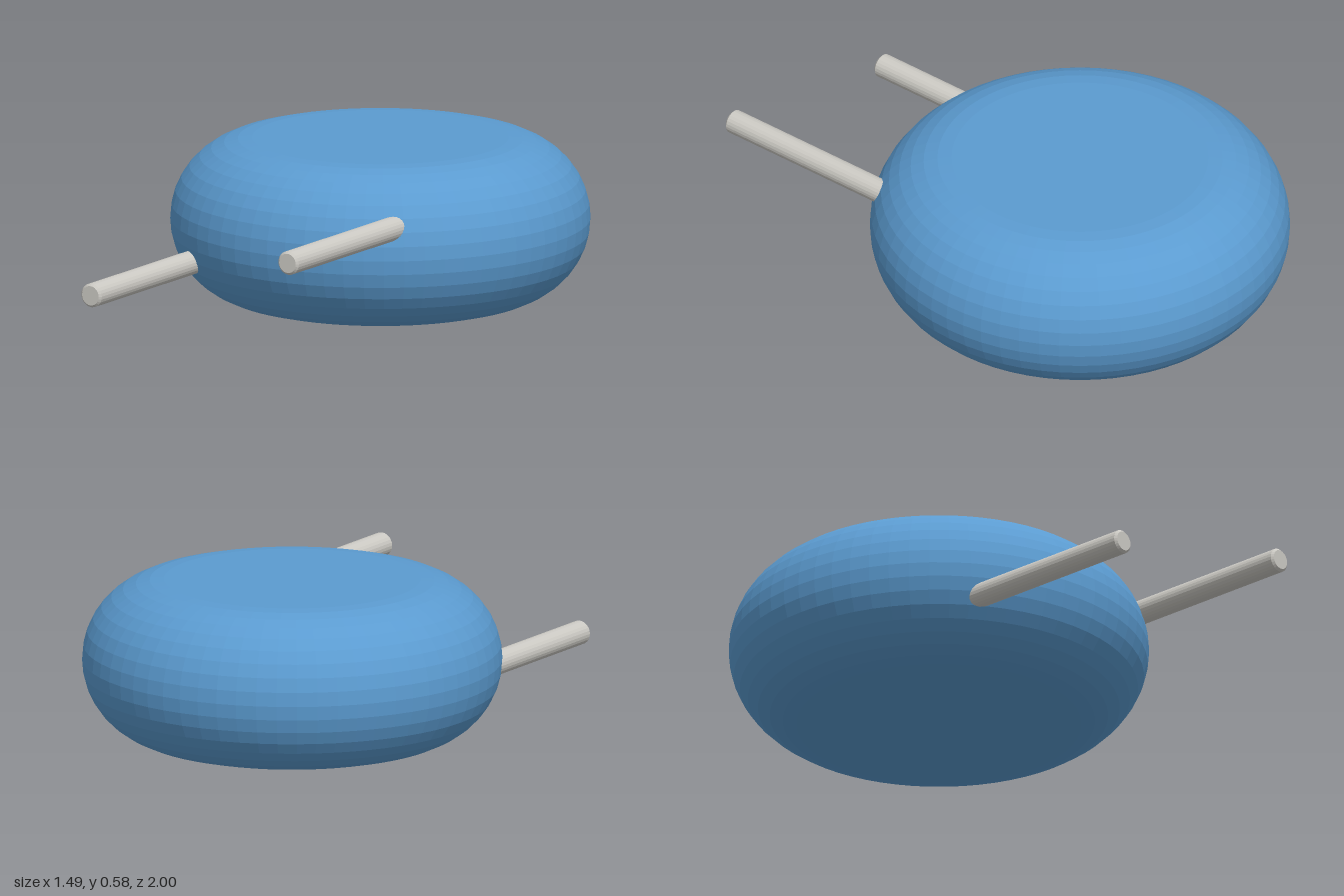
import * as THREE from 'three';

const BODY_Z = -0.255, BODY_R = 0.745, HALF_H = 0.29;

// Turned profile that closes on the axis at both ends
function turned(points, segments, color, name) {
  const geo = new THREE.LatheGeometry(points.map(([r, y]) => new THREE.Vector2(r, y)), segments);
  const mat = new THREE.MeshStandardMaterial({ color, flatShading: true });
  const mesh = new THREE.Mesh(geo, mat);
  mesh.name = name;
  return mesh;
}

export function createModel() {
  const model = new THREE.Group();
  model.name = 'discComponent';

  // Flat disc with a fully rounded rim
  const profile = [[0, -HALF_H]];
  const steps = 18;
  for (let i = 0; i <= steps; i++) {
    const a = -Math.PI / 2 + (Math.PI * i) / steps;
    profile.push([BODY_R - HALF_H + HALF_H * Math.cos(a), HALF_H * Math.sin(a)]);
  }
  profile.push([0, HALF_H]);
  const body = turned(profile, 64, 0x5b9bd0, 'discBody');
  body.position.set(0, HALF_H + 0.002, BODY_Z);
  model.add(body);

  // Two wire leads, set diagonally, with slightly chamfered tips
  const r = 0.043, start = 0.1, end = 1, chamfer = 0.008;
  for (const [x, y, name] of [[0.415, 0.402, 'leftLead'], [-0.415, 0.187, 'rightLead']]) {
    const lead = turned(
      [[0, start], [r, start], [r, end - chamfer], [r - chamfer, end], [0, end]],
      24, 0xcccac4, name);
    lead.rotation.x = Math.PI / 2;
    lead.position.set(x, y, 0);
    model.add(lead);
  }
  return model;
}
